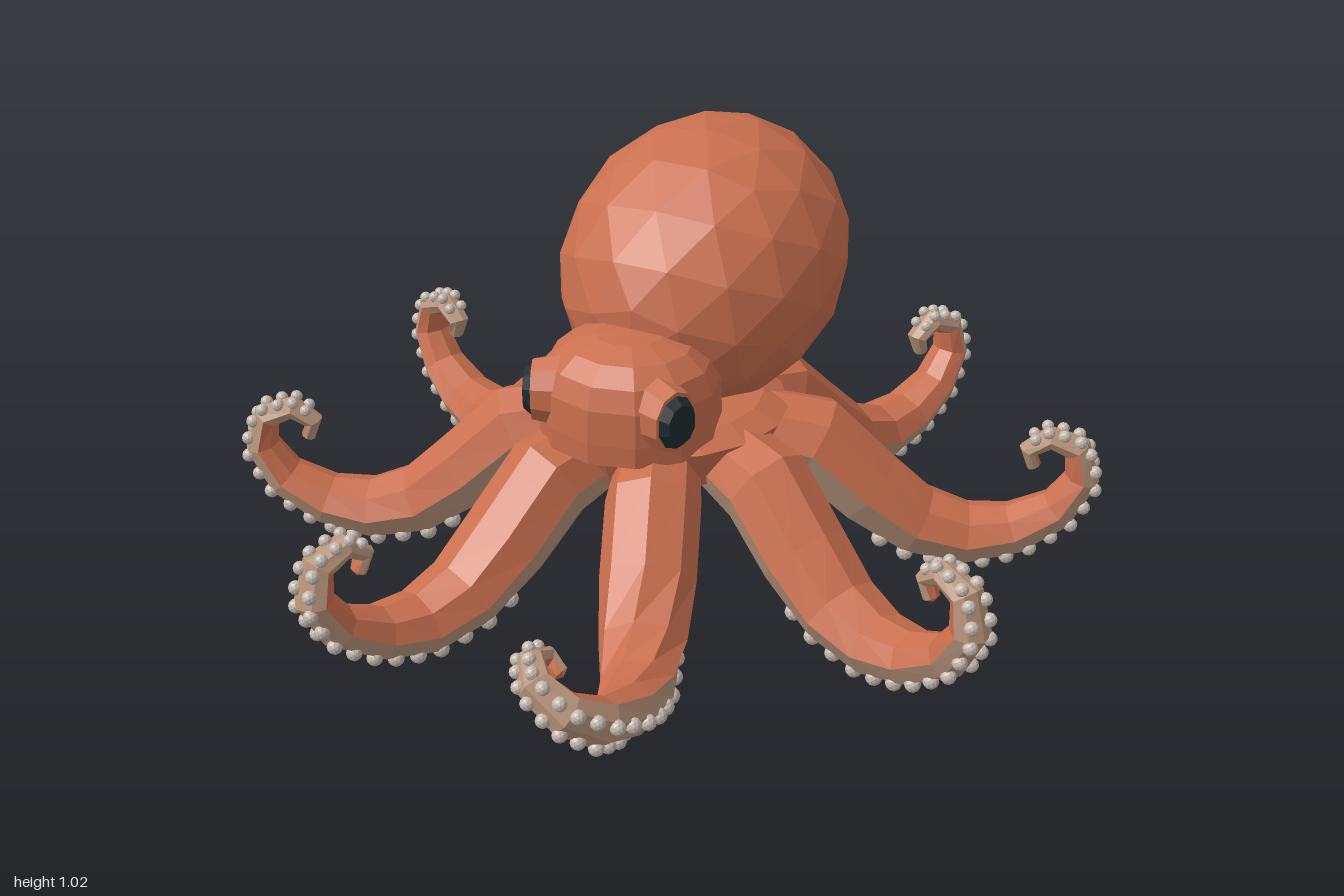
import * as THREE from 'three';
import { mergeGeometries } from 'three/addons/utils/BufferGeometryUtils.js';

const material = (name, color) => {
  const m = new THREE.MeshStandardMaterial({ color, flatShading: true });
  m.name = name;
  return m;
};

// Arm stations: distance from centre, height, half width, half thickness
const STATIONS = [
  [0.05, 0.345, 0.05, 0.07], [0.2, 0.36, 0.095, 0.092], [0.35, 0.328, 0.108, 0.107],
  [0.48, 0.21, 0.108, 0.098], [0.6, 0.122, 0.1, 0.084], [0.72, 0.09, 0.088, 0.072],
  [0.83, 0.108, 0.074, 0.06], [0.93, 0.165, 0.06, 0.05], [0.982, 0.25, 0.05, 0.042],
  [0.965, 0.328, 0.041, 0.034], [0.9, 0.352, 0.034, 0.028], [0.852, 0.318, 0.028, 0.023],
  [0.868, 0.277, 0.02, 0.017], [0.874, 0.27, 0.001, 0.001],
];
const SIDES = 8;
const CURL_START = 5;

// Frames along one arm; twist leans the curled end sideways
function armFrames(azimuth, twist) {
  const out = new THREE.Vector3(Math.cos(azimuth), 0, Math.sin(azimuth));
  const lateral = new THREE.Vector3(-out.z, 0, out.x);
  const baseY = STATIONS[CURL_START][1];
  const points = STATIONS.map(([r, y], i) => {
    const p = out.clone().multiplyScalar(r);
    const lift = y - baseY;
    if (i <= CURL_START) return p.setY(y);
    p.addScaledVector(lateral, lift * Math.sin(twist));
    return p.setY(baseY + lift * Math.cos(twist));
  });
  return points.map((p, i) => {
    const next = points[Math.min(i + 1, points.length - 1)];
    const t = next.clone().sub(points[Math.max(i - 1, 0)]).normalize();
    const lean = twist * THREE.MathUtils.clamp((i - 3) / 4, 0, 1);
    const s = lateral.clone().multiplyScalar(Math.cos(lean));
    s.y -= Math.sin(lean);
    s.addScaledVector(t, -s.dot(t)).normalize();
    const n = s.clone().cross(t);
    return { p, s, n, w: STATIONS[i][2], h: STATIONS[i][3] };
  });
}

function geometryFrom(triangles) {
  const g = new THREE.BufferGeometry().setFromPoints(triangles);
  g.computeVertexNormals();
  return g;
}

// Eight-sided tube: upper half skin, lower half pale, tip mostly pale
function armGeometries(frames) {
  const rings = frames.map(({ p, s, n, w, h }) =>
    Array.from({ length: SIDES }, (_, j) => {
      const a = (j / SIDES) * Math.PI * 2;
      return p.clone()
        .addScaledVector(s, w * Math.cos(a))
        .addScaledVector(n, h * Math.sin(a));
    }));
  const skin = [], under = [];
  for (let i = 0; i < rings.length - 1; i++) {
    for (let j = 0; j < SIDES; j++) {
      const k = (j + 1) % SIDES;
      const reach = i >= 9 ? 3 : 2;
      const list = Math.abs(j - 5.5) < reach || (reach === 3 && j === 0) ? under : skin;
      const a = rings[i][j], b = rings[i + 1][j], c = rings[i][k], d = rings[i + 1][k];
      list.push(a, b, c, b, d, c);
    }
  }
  return [geometryFrom(skin), geometryFrom(under)];
}

// Two rows of suckers that shrink towards the tip
function suckerGeometry(frames) {
  const parts = [];
  const mix = THREE.MathUtils.lerp;
  for (let u = 3.6; u < 10.5; u += 0.43) {
    const i = Math.floor(u), f = u - i, A = frames[i], B = frames[i + 1];
    const p = A.p.clone().lerp(B.p, f);
    const s = A.s.clone().lerp(B.s, f).normalize();
    const n = A.n.clone().lerp(B.n, f).normalize();
    const radius = mix(0.021, 0.014, (u - 3.6) / 7);
    for (const side of [-1, 1]) {
      const c = p.clone()
        .addScaledVector(s, side * mix(A.w, B.w, f) * 0.58)
        .addScaledVector(n, -mix(A.h, B.h, f) * 0.8);
      parts.push(new THREE.IcosahedronGeometry(radius, 1).translate(c.x, c.y, c.z));
    }
  }
  return mergeGeometries(parts);
}

export function createModel() {
  const model = new THREE.Group();
  model.name = 'octopus';
  const skin = material('orange skin', 0xc96f4e);
  const pale = material('pale underside', 0xb9957b);
  const sucker = material('grey suckers', 0xc4b9ae);
  const dark = material('dark eye', 0x1d2c2e);

  const add = (name, geometry, mat, parent = model) => {
    const mesh = new THREE.Mesh(geometry, mat);
    mesh.name = name;
    parent.add(mesh);
    return mesh;
  };
  const lathe = (points, sides) =>
    new THREE.LatheGeometry(points.map(([x, y]) => new THREE.Vector2(x, y)), sides);

  // Tilted mantle
  const mantle = add('mantle', new THREE.IcosahedronGeometry(1, 2), skin);
  mantle.scale.set(0.338, 0.313, 0.39);
  mantle.rotation.x = THREE.MathUtils.degToRad(25);
  mantle.position.set(0, 0.7, -0.222);

  // Head and the body that joins the arms
  const head = add('head', lathe(
    [[0.21, 0.42], [0.212, 0.47], [0.208, 0.55], [0.188, 0.6], [0.145, 0.638], [0.08, 0.66], [0, 0.666]], 12), skin);
  head.scale.z = 0.95;
  head.position.z = 0.155;
  add('body', lathe([[0.25, 0.32], [0.3, 0.425], [0.24, 0.455], [0, 0.47]], 16), skin);
  add('bodyUnderside', lathe([[0, 0.255], [0.08, 0.262], [0.17, 0.28], [0.25, 0.32]], 16), pale);
  add('mouth', new THREE.ConeGeometry(0.035, 0.05, 8).rotateX(Math.PI).translate(0, 0.262, 0), pale);

  // Eyes in raised sockets, turned slightly forward
  for (const side of [-1, 1]) {
    const eye = new THREE.Group();
    eye.name = side > 0 ? 'leftEye' : 'rightEye';
    eye.position.set(side * 0.165, 0.532, 0.272);
    eye.rotation.y = side * THREE.MathUtils.degToRad(67);
    eye.scale.set(0.8, 1, 1);
    add('socket', new THREE.CylinderGeometry(0.074, 0.09, 0.08, 10).rotateX(Math.PI / 2)
      .translate(0, 0, -0.022), skin, eye);
    add('eyeball', new THREE.CylinderGeometry(0.048, 0.066, 0.022, 10).rotateX(Math.PI / 2)
      .translate(0, 0, 0.027), dark, eye);
    model.add(eye);
  }

  // Eight arms; one in front and one behind curl sideways
  const sideways = { 1: 0.87, 5: -0.87 };
  for (let k = 0; k < 8; k++) {
    const arm = new THREE.Group();
    arm.name = `arm${k + 1}`;
    arm.position.z = -0.025;
    const frames = armFrames(((k + 0.5) / 8) * Math.PI * 2, sideways[k] ?? 0);
    const [upper, lower] = armGeometries(frames);
    add('armSkin', upper, skin, arm);
    add('armUnderside', lower, pale, arm);
    add('suckers', suckerGeometry(frames), sucker, arm);
    model.add(arm);
  }
  return model;
}
